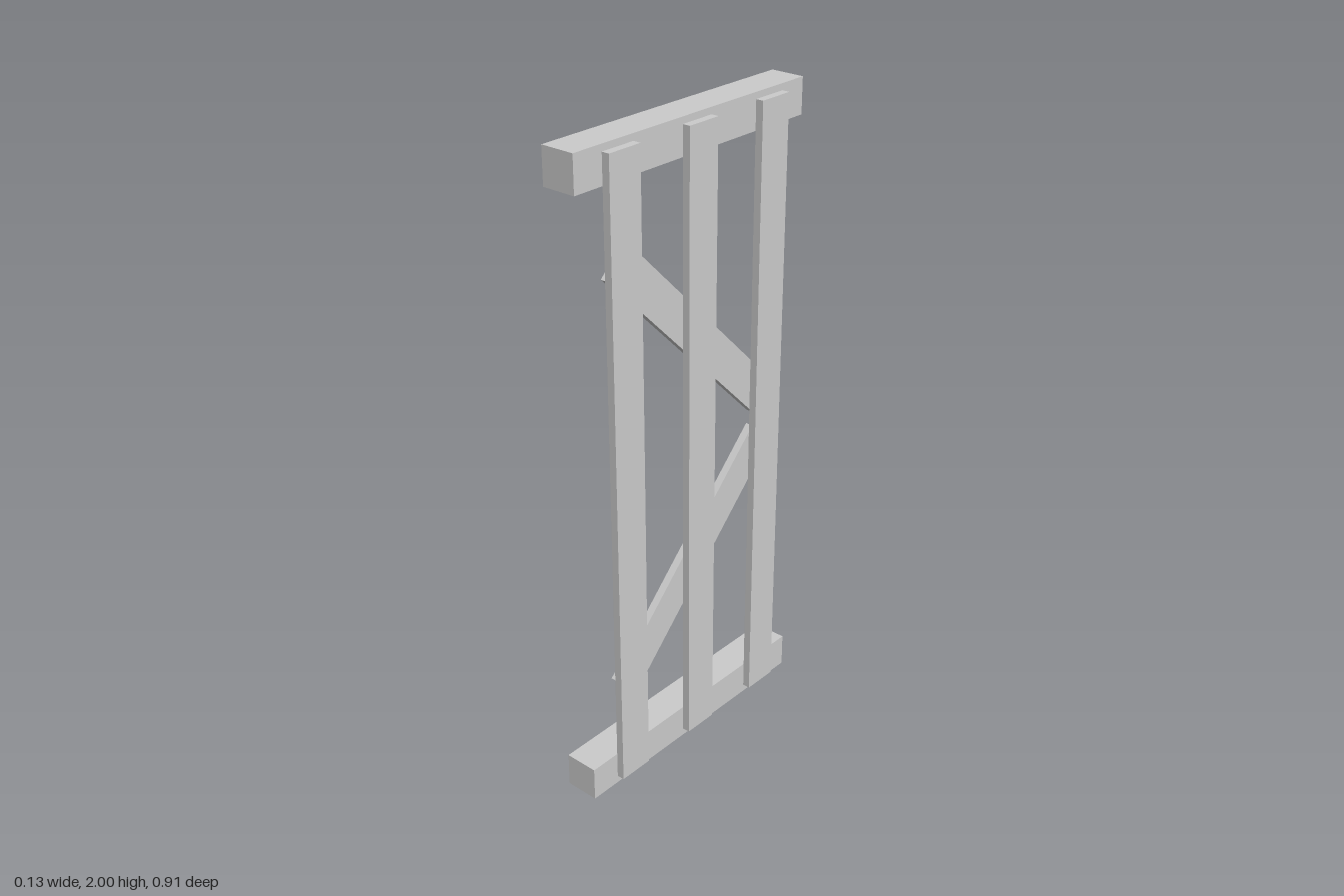
import * as THREE from 'three';

export function createModel() {
  const model = new THREE.Group();
  model.name = 'slattedFrame';
  const material = new THREE.MeshStandardMaterial({ color: 0xcccccc, flatShading: true });

  // One wooden board, centred at (x, y, z) and tilted about the x axis
  function board(name, [w, h, d], [x, y, z], tilt = 0) {
    const mesh = new THREE.Mesh(new THREE.BoxGeometry(w, h, d), material);
    mesh.name = name;
    mesh.position.set(x, y, z);
    mesh.rotation.x = tilt;
    model.add(mesh);
  }

  // Heavy square rails at the bottom and top
  board('bottomRail', [0.107, 0.108, 0.906], [-0.012, 0.054, 0]);
  board('topRail', [0.107, 0.108, 0.906], [-0.012, 1.946, 0]);

  // Three upright slats fixed to the left faces of the rails
  ['backSlat', 'middleSlat', 'frontSlat'].forEach((name, i) => {
    board(name, [0.024, 1.956, 0.114], [0.0535, 1.002, -0.305 + i * 0.3005]);
  });

  // Diagonal braces behind the slats, meeting towards the back
  board('upperBrace', [0.024, 0.86, 0.115], [0.0285, 1.37, -0.002], Math.PI / 4);
  board('lowerBrace', [0.024, 0.86, 0.115], [0.0285, 0.635, -0.002], -Math.PI / 4);

  return model;
}
